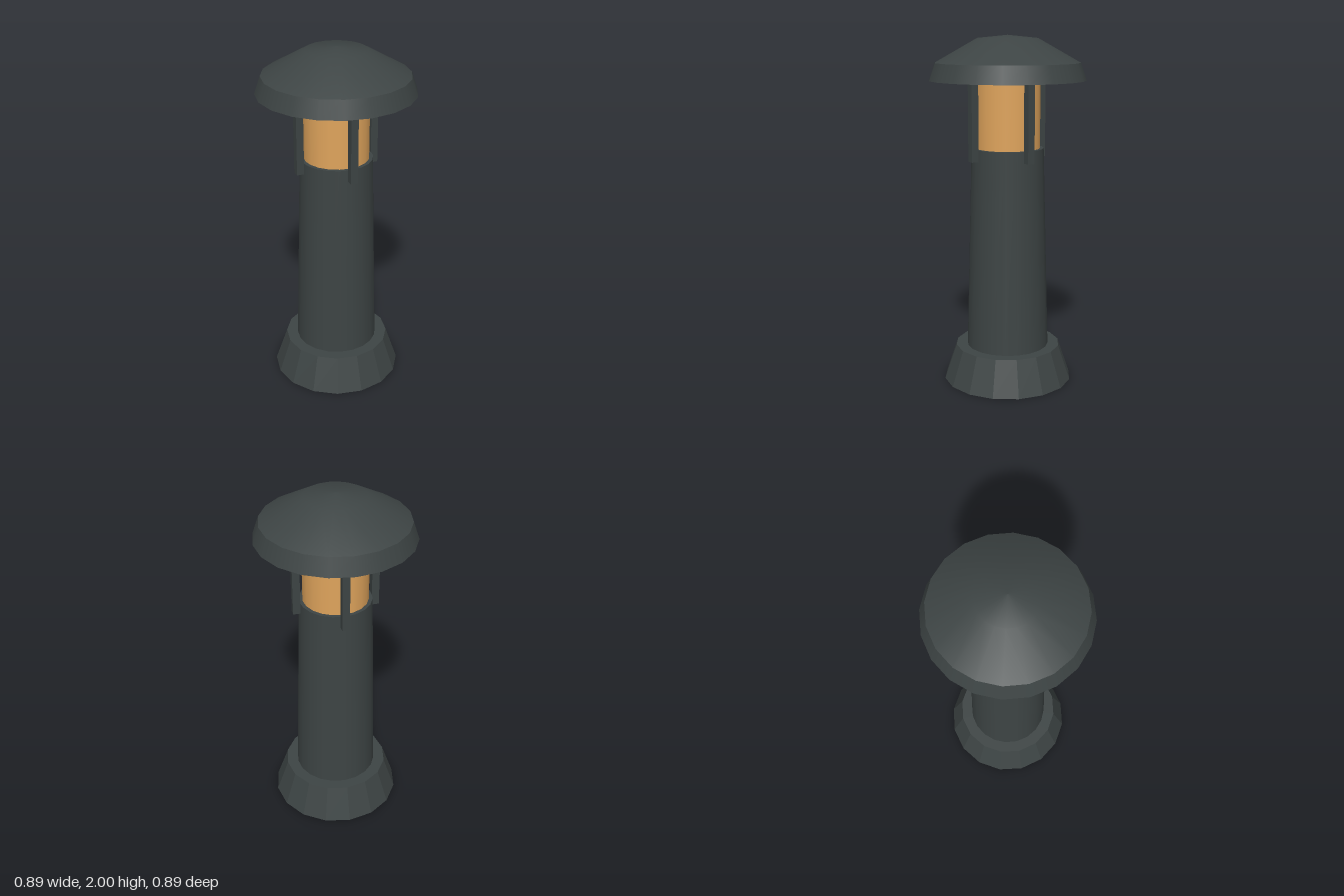
import * as THREE from 'three';

const SIDES = 20;

export function createModel() {
  const model = new THREE.Group();
  model.name = 'bollardLight';

  const metal = new THREE.MeshStandardMaterial({ color: 0x3d4444 });
  metal.name = 'darkMetal';
  const amber = new THREE.MeshStandardMaterial({ color: 0xdfa45c });
  amber.name = 'amberGlass';

  function add(name, geometry, material, x = 0, y = 0, z = 0) {
    const mesh = new THREE.Mesh(geometry, material);
    mesh.name = name;
    mesh.position.set(x, y, z);
    model.add(mesh);
    return mesh;
  }

  // Round tapered section between two heights
  function section(name, rTop, rBottom, y0, y1, material, sides = SIDES, faceted = false) {
    let geometry = new THREE.CylinderGeometry(rTop, rBottom, y1 - y0, sides);
    if (faceted) {
      geometry = geometry.toNonIndexed();
      geometry.computeVertexNormals();
    }
    return add(name, geometry, material, 0, (y0 + y1) / 2, 0);
  }

  // Foot, column and lamp
  section('foot', 0.305, 0.375, 0, 0.205, metal, 16, true);
  section('column', 0.206, 0.238, 0.205, 1.37, metal);
  section('lamp', 0.185, 0.185, 1.37, 1.75, amber);

  // Four posts carrying the cap
  const posts = new THREE.Group();
  posts.name = 'posts';
  const postGeometry = new THREE.BoxGeometry(0.042, 0.445, 0.042);
  for (let i = 0; i < 4; i++) {
    const angle = (i * Math.PI) / 2;
    const post = new THREE.Mesh(postGeometry, metal);
    post.name = 'post';
    post.position.set(Math.sin(angle) * 0.224, 1.5275, Math.cos(angle) * 0.224);
    posts.add(post);
  }
  model.add(posts);

  // Cap: sloping rim with a smooth dome above
  section('capRim', 0.409, 0.443, 1.75, 1.848, metal);
  const dome = [[0.409, 1.848], [0.17, 1.983], [0, 2]].map(([r, y]) => new THREE.Vector2(r, y));
  add('capDome', new THREE.LatheGeometry(dome, SIDES), metal);

  return model;
}
